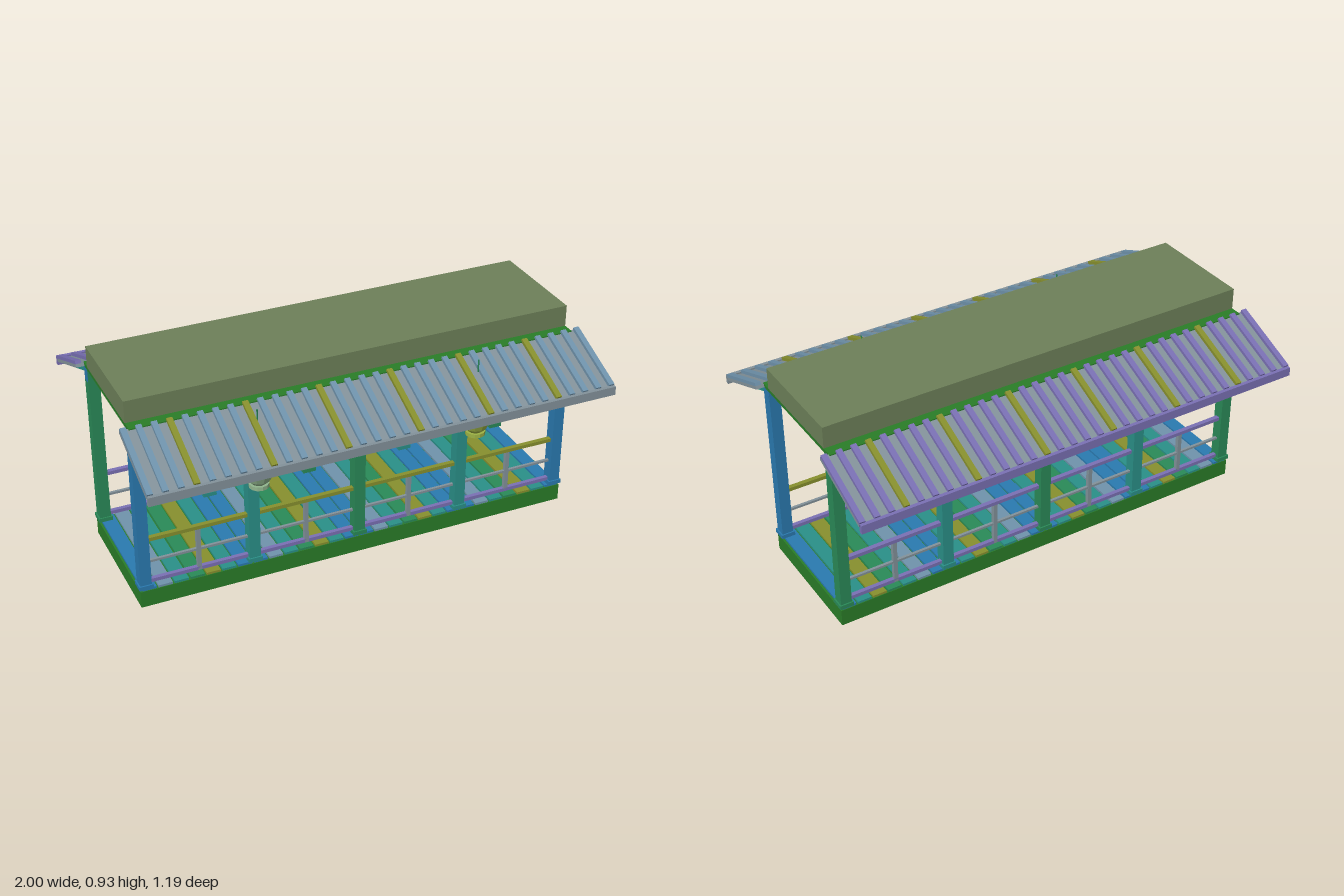
import * as THREE from 'three';

const mat = (color, flatShading = false) => new THREE.MeshStandardMaterial({ color, flatShading });
const GREEN = mat(0x2a7d28), BLUE = mat(0x2a7ab0), TEAL = mat(0x2a9088), JADE = mat(0x2a8a58);
const OLIVE = mat(0x87902e), SLATE = mat(0x6f93ac), PURPLE = mat(0x7a70b4), GREY = mat(0x83929a);
const MOSS = mat(0x6d8059), PAPER = mat(0x90b48c, true), LIME = mat(0x9cb244, true);

function box(parent, name, material, w, h, d, x, y, z) {
  const mesh = new THREE.Mesh(new THREE.BoxGeometry(w, h, d), material);
  mesh.name = name;
  mesh.position.set(x, y, z);
  parent.add(mesh);
  return mesh;
}

function group(parent, name) {
  const g = new THREE.Group();
  g.name = name;
  parent.add(g);
  return g;
}

// Posts, beam and railing along one long side
function buildColonnade(parent, z) {
  const front = z > 0;
  const side = group(parent, front ? 'frontColonnade' : 'backColonnade');
  const mats = front ? [BLUE, TEAL, JADE, TEAL, BLUE] : [JADE, TEAL, JADE, TEAL, JADE];
  mats.forEach((m, i) => {
    const x = -0.94 + i * 0.47;
    box(side, 'post', m, 0.048, 0.74, 0.048, x, 0.453, z);
    box(side, 'postFoot', m, 0.06, 0.018, 0.06, x, 0.094, z);
  });
  box(side, 'beam', BLUE, 1.93, 0.06, 0.04, 0, 0.79, z);
  box(side, 'topRail', front ? OLIVE : PURPLE, 1.84, 0.016, 0.02, 0, 0.306, z);
  box(side, 'middleRail', GREY, 1.84, 0.01, 0.012, 0, 0.2, z);
  box(side, 'bottomRail', PURPLE, 1.84, 0.016, 0.018, 0, 0.108, z);
  for (let i = 0; i < 4; i++) {
    box(side, 'baluster', GREY, 0.018, 0.2, 0.018, -0.705 + i * 0.47, 0.2, z);
  }
}

// Sloping eave with battens above, rafters below and a fascia board
function buildEave(parent, name, battenMat) {
  const eave = group(parent, name);
  const slope = group(eave, 'slope');
  slope.position.set(0, 0.787, 0.435);
  slope.rotation.x = 0.39;
  box(slope, 'roofPanel', GREY, 2, 0.014, 0.32, 0, -0.021, 0);
  for (let i = 0; i < 33; i++) {
    const m = (i * 7) % 5 === 1 ? OLIVE : battenMat;
    box(slope, 'batten', m, 0.024, 0.014, 0.32, -0.988 + i * 0.06175, -0.007, 0);
  }
  for (let i = 0; i < 21; i++) {
    box(slope, 'rafter', i % 3 ? TEAL : BLUE, 0.022, 0.018, 0.3, -0.95 + i * 0.095, -0.041, 0.006);
  }
  box(eave, 'fascia', battenMat === PURPLE ? PURPLE : GREY, 2, 0.038, 0.016, 0, 0.7, 0.587);
  return eave;
}

// Hanging paper lantern with two collars and a cord
function buildLantern(parent, x, material) {
  const lantern = group(parent, 'lantern');
  lantern.position.set(x, 0.616, 0.375);
  const add = (name, geometry, y, m) => {
    const mesh = new THREE.Mesh(geometry, m);
    mesh.name = name;
    mesh.position.y = y;
    lantern.add(mesh);
    return mesh;
  };
  add('lanternBody', new THREE.SphereGeometry(0.07, 12, 8), 0, material).scale.y = 1.5;
  add('lanternCap', new THREE.CylinderGeometry(0.042, 0.042, 0.017, 12), 0.102, material);
  add('lanternBase', new THREE.CylinderGeometry(0.042, 0.042, 0.017, 12), -0.102, material);
  add('lanternCord', new THREE.CylinderGeometry(0.003, 0.003, 0.126, 6), 0.172, JADE);
}

export function createModel() {
  const model = new THREE.Group();
  model.name = 'coveredWalkway';

  // Plinth with cross planks
  box(model, 'plinth', GREEN, 1.93, 0.075, 0.58, 0, 0.0375, 0);
  const deck = group(model, 'deck');
  const plankMats = [BLUE, TEAL, JADE, SLATE, BLUE, OLIVE, TEAL];
  const count = 28, pitch = 1.92 / count;
  for (let i = 0; i < count; i++) {
    const m = plankMats[(i * 3) % plankMats.length];
    box(deck, 'plank', m, pitch - 0.008, 0.01, 0.574, -0.96 + (i + 0.5) * pitch, 0.08, 0);
  }

  buildColonnade(model, 0.265);
  buildColonnade(model, -0.265);

  // Ceiling slab and raised roof block
  box(model, 'ceilingSlab', GREEN, 1.93, 0.016, 0.58, 0, 0.828, 0);
  box(model, 'roofBlock', MOSS, 1.93, 0.095, 0.48, 0, 0.8825, 0);

  buildEave(model, 'frontEave', SLATE);
  buildEave(model, 'backEave', PURPLE).rotation.y = Math.PI;

  buildLantern(model, -0.48, PAPER);
  buildLantern(model, 0.48, LIME);
  return model;
}
